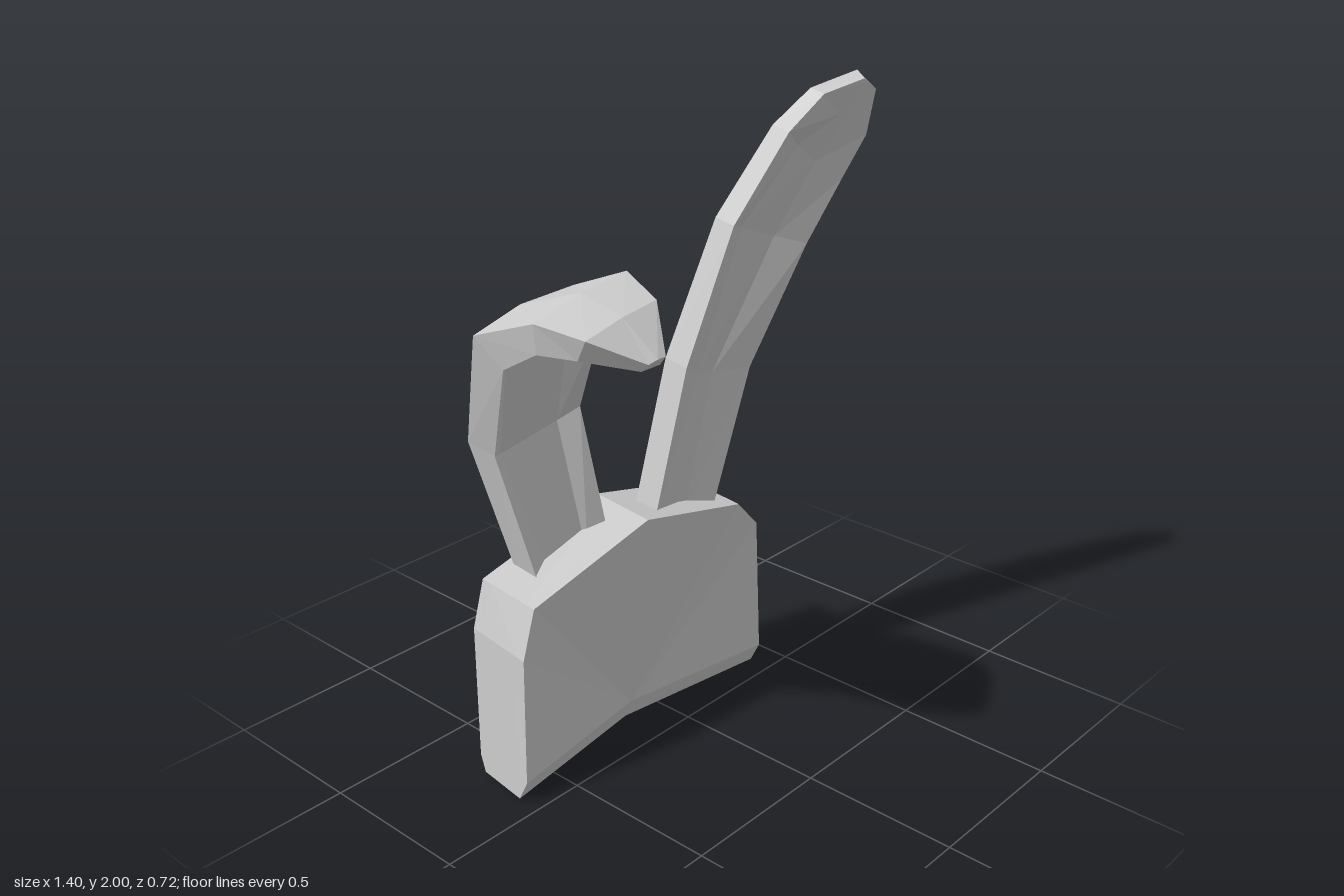
import * as THREE from 'three';

const mix = (a, b, t) => a.map((v, i) => v + (b[i] - v) * t);

// Skin a series of equal-sized closed rings; end caps fan out from ring point `apex`.
function loft(name, rings, apex) {
  const n = rings[0].length;
  const pos = [];
  const tri = (a, b, c) => pos.push(...a, ...b, ...c);
  for (let r = 0; r < rings.length - 1; r++) {
    for (let j = 0; j < n; j++) {
      const k = (j + 1) % n;
      const [a, b, c, d] = [rings[r][j], rings[r][k], rings[r + 1][k], rings[r + 1][j]];
      tri(a, b, c);
      tri(a, c, d);
    }
  }
  const first = rings[0];
  const last = rings[rings.length - 1];
  for (let i = 1; i < n - 1; i++) {
    const j = (apex + i) % n;
    const k = (apex + i + 1) % n;
    tri(first[apex], first[k], first[j]);
    tri(last[apex], last[j], last[k]);
  }
  const geo = new THREE.BufferGeometry();
  geo.setAttribute('position', new THREE.Float32BufferAttribute(pos, 3));
  geo.computeVertexNormals();
  const mat = new THREE.MeshStandardMaterial({ color: 0xcccccc, flatShading: true });
  const mesh = new THREE.Mesh(geo, mat);
  mesh.name = name;
  return mesh;
}

// Ear section: front rim corners (fa, fb), back corners (ba, bb), a front groove
// between t0 and t1 sunk by (dy, dz), and a slight ridge on the back.
function earRing([fa, fb, ba, bb, t0, t1, dy, dz]) {
  const groove = (t) => {
    const [x, y, z] = mix(fa, fb, t);
    return [x, y + dy, z + dz];
  };
  const ridge = mix(mix(fa, fb, 0.5), mix(ba, bb, 0.5), 1.15);
  return [fa, groove(t0), groove(t1), fb, bb, ridge, ba];
}

function buildBase() {
  // Outlines run counter-clockwise from the bottom centre, which is recessed in front
  const front = [
    [-0.13, 0.07, -0.125], [0.41, 0.07, -0.045], [0.40, 0.53, -0.058], [0.31, 0.63, -0.06],
    [-0.13, 0.74, -0.045], [-0.59, 0.62, -0.06], [-0.64, 0.47, -0.058], [-0.66, 0.07, -0.045],
  ];
  const back = [
    [-0.13, 0.13, -0.36], [0.40, 0.07, -0.26], [0.395, 0.57, -0.27], [0.31, 0.65, -0.265],
    [-0.13, 0.76, -0.26], [-0.60, 0.65, -0.265], [-0.64, 0.50, -0.27], [-0.65, 0.07, -0.26],
  ];
  // Middle rings share the straight walls and only reshape the underside
  const between = (t, centre, y, z) => back.map((p, i) => {
    if (i === 0) return centre;
    if (i === 1) return [0.41, y, z];
    if (i === 7) return [-0.66, y, z];
    return mix(p, front[i], t);
  });
  const rings = [
    back,
    between(0.15, [-0.13, 0.06, -0.29], 0.025, -0.23),
    between(0.85, [-0.13, 0, -0.155], 0, -0.08),
    front,
  ];
  return loft('base', rings, 0);
}

function buildUprightEar() {
  const sections = [
    [[-0.05, 0.66, -0.10], [0.23, 0.60, -0.11], [-0.05, 0.66, -0.19], [0.22, 0.60, -0.21], 0.5, 0.65, 0, -0.03],
    [[0.06, 1.17, -0.06], [0.38, 1.08, -0.08], [0.065, 1.18, -0.15], [0.37, 1.08, -0.175], 0.34, 0.56, -0.03, -0.045],
    [[0.20, 1.59, 0.0], [0.55, 1.46, 0.0], [0.21, 1.60, -0.08], [0.55, 1.46, -0.075], 0.25, 0.7, 0, -0.045],
    [[0.36, 1.85, 0.07], [0.64, 1.66, 0.06], [0.37, 1.86, 0.0], [0.64, 1.67, -0.01], 0.32, 0.66, 0, -0.035],
    [[0.47, 1.95, 0.11], [0.70, 1.79, 0.10], [0.475, 1.96, 0.055], [0.70, 1.81, 0.045], 0.42, 0.55, -0.01, -0.01],
    [[0.61, 1.98, 0.15], [0.67, 1.94, 0.15], [0.62, 2.0, 0.115], [0.68, 1.96, 0.105], 0.4, 0.6, 0, 0],
  ];
  return loft('uprightEar', sections.map(earRing), 5);
}

function buildFoldedEar() {
  const sections = [
    [[-0.485, 0.60, -0.14], [-0.19, 0.62, -0.14], [-0.485, 0.60, -0.23], [-0.19, 0.62, -0.235], 0.25, 0.75, 0, -0.03],
    [[-0.595, 1.06, -0.19], [-0.26, 1.11, -0.19], [-0.605, 1.08, -0.29], [-0.26, 1.14, -0.285], 0.17, 0.83, -0.03, -0.04],
    [[-0.68, 1.38, -0.04], [-0.31, 1.42, -0.04], [-0.70, 1.46, -0.13], [-0.33, 1.51, -0.13], 0.22, 0.85, -0.05, -0.085],
    [[-0.69, 1.46, 0.10], [-0.35, 1.54, 0.10], [-0.705, 1.55, 0.11], [-0.365, 1.61, 0.11], 0.25, 0.75, 0.04, 0],
    [[-0.66, 1.465, 0.22], [-0.39, 1.515, 0.23], [-0.67, 1.53, 0.26], [-0.40, 1.57, 0.25], 0.3, 0.7, 0.02, 0],
    [[-0.55, 1.435, 0.335], [-0.48, 1.435, 0.335], [-0.55, 1.46, 0.36], [-0.485, 1.465, 0.36], 0.4, 0.6, 0, 0],
  ];
  return loft('foldedEar', sections.map(earRing), 5);
}

export function createModel() {
  const group = new THREE.Group();
  group.name = 'rabbitEars';
  group.add(buildBase(), buildUprightEar(), buildFoldedEar());
  return group;
}
